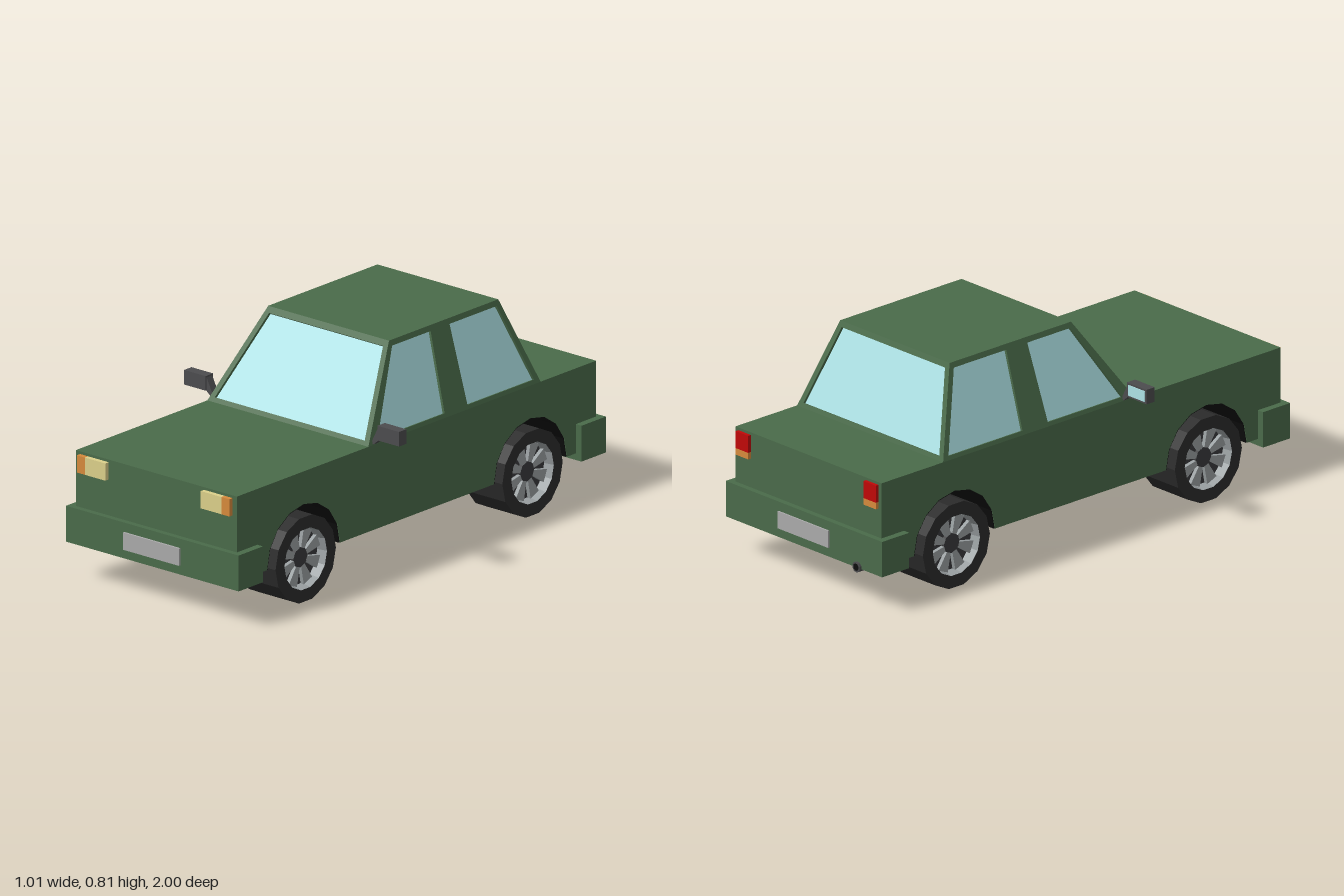
import * as THREE from 'three';

const V = (x, y, z) => new THREE.Vector3(x, y, z);
const mat = (color, extra = {}) => new THREE.MeshStandardMaterial({ color, flatShading: true, ...extra });
const paint = mat(0x4a6b4a), black = mat(0x0d0d0d), rubber = mat(0x2b2b2b), rimDark = mat(0x3a3a3c);
const alloy = mat(0x9aa0a2), glass = mat(0xaee3e6, { side: THREE.DoubleSide }), plastic = mat(0x4c4c4e);
const amber = mat(0xd68a3c), lens = mat(0xdcd08a), red = mat(0xc00808), plateGrey = mat(0xaaaaaa);

const W = 0.38, FLOOR = 0.17, BELT = 0.49, ROOF = 0.81, WELL = 0.17;
const AXLES = [0.61, -0.615];

function add(parent, name, geometry, material) {
  const mesh = new THREE.Mesh(geometry, material);
  mesh.name = name;
  parent.add(mesh);
  return mesh;
}

// box given by its limits
function box(parent, name, material, [x0, x1], [y0, y1], [z0, z1]) {
  const g = new THREE.BoxGeometry(x1 - x0, y1 - y0, z1 - z0);
  g.translate((x0 + x1) / 2, (y0 + y1) / 2, (z0 + z1) / 2);
  return add(parent, name, g, material);
}

// side outline in (z, y), extruded from x0 to x1
function sideExtrude(points, x0, x1) {
  const shape = new THREE.Shape(points.map(([z, y]) => new THREE.Vector2(z, y)));
  const g = new THREE.ExtrudeGeometry(shape, { depth: x1 - x0, bevelEnabled: false });
  return g.rotateY(-Math.PI / 2).translate(x1, 0, 0);
}

// half-circle wheel arch, from its rear foot to its front foot
function arch(z, r, n = 8) {
  return Array.from({ length: n + 1 }, (_, i) => {
    const a = Math.PI * (1 - i / n);
    return [z + r * Math.cos(a), FLOOR + r * Math.sin(a)];
  });
}

// flat frame with window openings; corners run counter-clockwise seen from outside
function framedPanel(parent, name, corners, windows = []) {
  const a = corners[0];
  const ex = corners[1].clone().sub(a).normalize();
  const n = ex.clone().cross(corners[3].clone().sub(a)).normalize();
  const ey = n.clone().cross(ex);
  const basis = new THREE.Matrix4().makeBasis(ex, ey, n).setPosition(a);
  const flat = (p) => {
    const d = p.clone().sub(a);
    return new THREE.Vector2(d.dot(ex), d.dot(ey));
  };
  const shape = new THREE.Shape(corners.map(flat));
  for (const w of windows) {
    shape.holes.push(new THREE.Path(w.map(flat)));
    const pane = new THREE.ShapeGeometry(new THREE.Shape(w.map(flat)));
    add(parent, name + 'Glass', pane.translate(0, 0, -0.01).applyMatrix4(basis), glass);
  }
  const g = new THREE.ExtrudeGeometry(shape, { depth: 0.018, bevelEnabled: false });
  add(parent, name + 'Frame', g.translate(0, 0, -0.018).applyMatrix4(basis), paint);
}

function makeBody() {
  const body = new THREE.Group();
  body.name = 'body';
  const outline = [[-0.97, FLOOR], ...arch(AXLES[1], 0.197), ...arch(AXLES[0], 0.197),
    [0.97, FLOOR], [0.97, BELT], [-0.97, BELT]];
  box(body, 'centreBody', paint, [-WELL, WELL], [FLOOR, BELT], [-0.97, 0.97]);
  for (const [x0, x1, wall] of [[WELL, W, WELL], [-W, -WELL, -WELL - 0.006]]) {
    add(body, 'bodySide', sideExtrude(outline, x0, x1), paint);
    for (const z of AXLES) {
      const band = [...arch(z, 0.199), ...arch(z, 0.193).reverse()];
      add(body, 'wheelWellLiner', sideExtrude(band, x0 + 0.002, x1 - 0.002), black);
      add(body, 'wheelWellWall', sideExtrude(arch(z, 0.196), wall, wall + 0.006), black);
    }
  }
  return body;
}

function makeCabin() {
  const cabin = new THREE.Group();
  cabin.name = 'cabin';
  // points on the sloping faces at height y
  const t = (y) => (y - BELT) / (ROOF - BELT);
  const sideX = (y) => W - 0.095 * t(y);
  const frontZ = (y) => 0.26 - 0.22 * t(y);
  const rearZ = (y) => -0.67 + 0.12 * t(y);
  const lo = 0.505, hi = 0.79;
  const endFace = (zAt, s, y0, y1, inset) => {
    const x0 = s * (sideX(y0) - inset), x1 = s * (sideX(y1) - inset);
    return [V(-x0, y0, zAt(y0)), V(x0, y0, zAt(y0)), V(x1, y1, zAt(y1)), V(-x1, y1, zAt(y1))];
  };
  framedPanel(cabin, 'windscreen', endFace(frontZ, 1, BELT, ROOF, 0), [endFace(frontZ, 1, lo, hi, 0.022)]);
  framedPanel(cabin, 'rearWindow', endFace(rearZ, -1, BELT, ROOF, 0), [endFace(rearZ, -1, lo, hi, 0.022)]);
  for (const s of [1, -1]) {
    const place = (pts) => {
      const p = pts.map(([z, y]) => V(s * sideX(y), y, z));
      return s > 0 ? p : p.reverse();
    };
    framedPanel(cabin, 'cabinSide',
      place([[0.26, BELT], [-0.67, BELT], [-0.55, ROOF], [0.04, ROOF]]),
      [place([[0.205, lo], [-0.157, lo], [-0.178, hi], [0.03, hi]]),
        place([[-0.28, lo], [-0.64, lo], [-0.535, hi], [-0.28, hi]])]);
  }
  const rx = sideX(ROOF);
  framedPanel(cabin, 'roof', [V(-rx, ROOF, 0.04), V(rx, ROOF, 0.04), V(rx, ROOF, -0.55), V(-rx, ROOF, -0.55)]);
  return cabin;
}

// wheel with its outer face towards +x
function makeWheel() {
  const wheel = new THREE.Group();
  wheel.name = 'wheel';
  const lathe = (pts) => new THREE.LatheGeometry(pts.map(([r, y]) => new THREE.Vector2(r, y)), 14)
    .rotateZ(-Math.PI / 2);
  add(wheel, 'tyre', lathe([[0, -0.09], [0.163, -0.09], [0.163, 0.09], [0.115, 0.09]]), rubber);
  add(wheel, 'rim', lathe([[0.115, 0.09], [0.108, 0.05]]), alloy);
  add(wheel, 'wheelDisc', lathe([[0.108, 0.05], [0, 0.05]]), rimDark);
  for (let i = 0; i < 8; i++) {
    const spoke = add(wheel, 'spoke',
      sideExtrude([[-0.01, 0.035], [0.01, 0.035], [0.024, 0.106], [-0.024, 0.106]], 0.045, 0.065), alloy);
    spoke.rotation.x = (i + 0.5) * Math.PI / 4;
  }
  const hub = new THREE.CylinderGeometry(0.038, 0.038, 0.02, 12).rotateZ(Math.PI / 2);
  add(wheel, 'hub', hub.translate(0.055, 0, 0), rimDark);
  return wheel;
}

// lamps and door mirror of the +x side
function makeSideFittings() {
  const side = new THREE.Group();
  side.name = 'sideFittings';
  box(side, 'headlight', lens, [0.225, 0.322], [0.415, 0.48], [0.96, 0.988]);
  box(side, 'frontIndicator', amber, [0.322, 0.36], [0.415, 0.48], [0.96, 0.988]);
  box(side, 'tailLight', red, [0.3, 0.365], [0.415, 0.48], [-0.983, -0.96]);
  box(side, 'rearIndicator', amber, [0.3, 0.365], [0.39, 0.415], [-0.983, -0.96]);
  const arm = new THREE.Shape([[0.365, 0.49], [0.378, 0.49], [0.408, 0.515], [0.408, 0.57], [0.378, 0.51]]
    .map(([x, y]) => new THREE.Vector2(x, y)));
  const armGeo = new THREE.ExtrudeGeometry(arm, { depth: 0.03, bevelEnabled: false });
  add(side, 'mirrorArm', armGeo.translate(0, 0, 0.205), plastic);
  box(side, 'mirrorHousing', plastic, [0.405, 0.507], [0.515, 0.57], [0.2, 0.24]);
  box(side, 'mirrorGlass', glass, [0.413, 0.499], [0.522, 0.563], [0.198, 0.202]);
  return side;
}

export function createModel() {
  const car = new THREE.Group();
  car.name = 'car';
  car.add(makeBody(), makeCabin());

  // bumpers and blank number plates
  box(car, 'frontBumper', paint, [-0.407, 0.407], [0.145, 0.28], [0.86, 0.992]);
  box(car, 'rearBumper', paint, [-0.407, 0.407], [0.145, 0.28], [-0.992, -0.86]);
  box(car, 'frontPlate', plateGrey, [-0.132, 0.132], [0.18, 0.245], [0.985, 1]);
  box(car, 'rearPlate', plateGrey, [-0.132, 0.132], [0.18, 0.245], [-0.998, -0.985]);

  // exhaust pipe under the rear bumper
  const pipe = new THREE.CylinderGeometry(0.02, 0.02, 0.085, 10).rotateX(Math.PI / 2);
  add(car, 'exhaustPipe', pipe.translate(-0.28, 0.15, -0.9575), plastic);
  const bore = new THREE.CircleGeometry(0.014, 10).rotateY(Math.PI);
  add(car, 'exhaustBore', bore.translate(-0.28, 0.15, -1.0005), black);

  for (const s of [1, -1]) {
    const fittings = makeSideFittings();
    fittings.scale.x = s;
    car.add(fittings);
    for (const z of AXLES) {
      const wheel = makeWheel();
      wheel.position.set(s * 0.3, 0.163, z);
      wheel.rotation.y = s > 0 ? 0 : Math.PI;
      car.add(wheel);
    }
  }
  return car;
}
